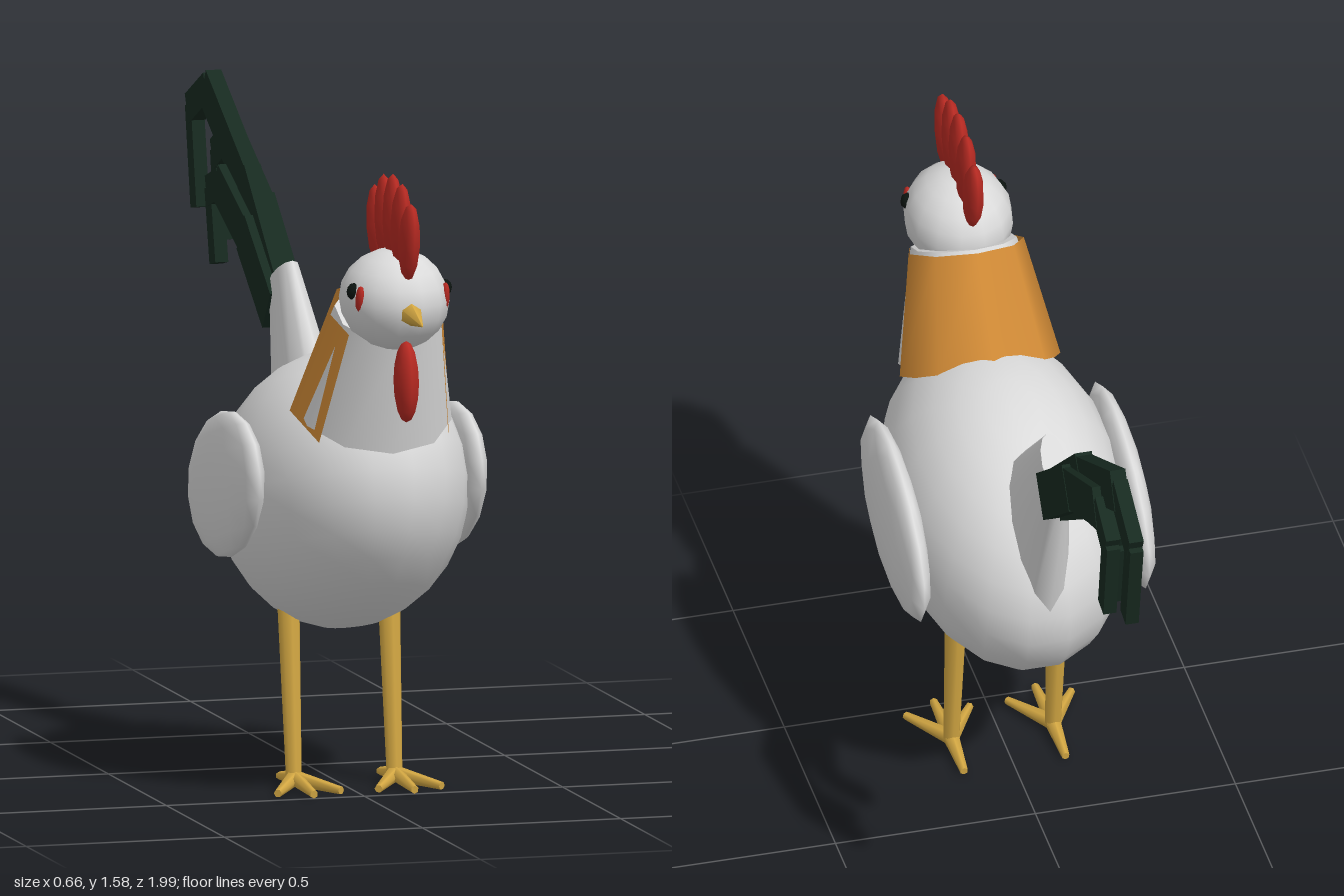
import * as THREE from 'three';

const material = (name, color) => {
  const m = new THREE.MeshStandardMaterial({ color });
  m.name = name;
  return m;
};

export function createModel() {
  const white = material('white plumage', 0xdadada);
  const orange = material('orange hackle', 0xd08a36);
  const red = material('red comb', 0xb82a22);
  const yellow = material('yellow horn', 0xd4a843);
  const green = material('dark green tail', 0x172a20);
  const black = material('eye black', 0x0c1410);
  const capeSkin = orange;
  capeSkin.side = THREE.DoubleSide;

  const model = new THREE.Group();
  model.name = 'rooster';

  const add = (name, geometry, mat, parent = model) => {
    const mesh = new THREE.Mesh(geometry, mat);
    mesh.name = name;
    parent.add(mesh);
    return mesh;
  };

  // Ellipsoid with centre, half sizes and a pitch about x
  const ellipsoid = (name, mat, centre, half, pitch = 0, w = 16, h = 12) => {
    const mesh = add(name, new THREE.SphereGeometry(1, w, h), mat);
    mesh.position.set(...centre);
    mesh.scale.set(...half);
    mesh.rotation.x = pitch;
    return mesh;
  };

  // Places a y-aligned geometry between two points
  const between = (name, mat, a, b, makeGeometry, parent = model) => {
    const start = new THREE.Vector3(...a);
    const end = new THREE.Vector3(...b);
    const dir = end.clone().sub(start);
    const mesh = add(name, makeGeometry(dir.length()), mat, parent);
    mesh.position.copy(start).add(end).multiplyScalar(0.5);
    mesh.quaternion.setFromUnitVectors(new THREE.Vector3(0, 1, 0), dir.normalize());
    return mesh;
  };
  const taper = (r0, r1, sides) => (len) => new THREE.CylinderGeometry(r1, r0, len, sides);

  // Body, neck and head
  ellipsoid('body', white, [0, 0.727, 0.305], [0.293, 0.338, 0.468], -0.26, 18, 14);
  between('neck', white, [0, 0.965, 0.575], [0, 1.22, 0.7], taper(0.192, 0.13, 10));
  between('hackleCape', capeSkin, [0, 0.955, 0.56], [0, 1.218, 0.69],
    (len) => new THREE.CylinderGeometry(0.145, 0.202, len, 6, 1, true, Math.PI - 2.2, 4.4));
  ellipsoid('head', white, [0, 1.262, 0.755], [0.133, 0.125, 0.156], 0, 14, 10);
  between('beak', yellow, [0, 1.25, 0.87], [0, 1.232, 1.0], taper(0.036, 0.002, 6));
  ellipsoid('wattle', red, [0, 1.075, 0.86], [0.031, 0.1, 0.05], 0, 8, 8);

  // Comb: five lobes fanned over the head
  for (let k = -2; k <= 2; k++) {
    ellipsoid('combLobe', red, [0, 1.456 - 0.009 * k * k, 0.747 + 0.069 * k],
      [0.025, 0.112 - 0.003 * k * k, 0.047], 0.11 * k, 8, 6);
  }

  // Tail stump, flattened sideways
  between('tailBase', white, [0, 0.81, 0.03], [0, 1.176, -0.193], taper(0.205, 0.084, 12)).scale.x = 0.38;

  // Tail feathers: sickle chains of flat segments, points as [y, z]
  const feathers = [
    [0, [[1.10, -0.21], [1.355, -0.50], [1.535, -0.82], [1.465, -0.965], [1.235, -0.92]]],
    [0.021, [[1.10, -0.21], [1.29, -0.45], [1.425, -0.725], [1.375, -0.82], [1.175, -0.785]]],
    [-0.021, [[1.09, -0.21], [1.24, -0.42], [1.33, -0.64], [1.30, -0.725], [1.135, -0.685]]],
  ];
  const widths = [0.115, 0.1, 0.075, 0.052];
  for (const [x, points] of feathers) {
    const feather = new THREE.Group();
    feather.name = 'tailFeather';
    model.add(feather);
    widths.forEach((width, i) => {
      between('featherSegment', green, [x, ...points[i]], [x, ...points[i + 1]],
        (len) => new THREE.BoxGeometry(0.042 - 0.003 * i, len + 0.015, width), feather);
    });
  }

  // Paired parts
  for (const s of [1, -1]) {
    const side = s > 0 ? 'left' : 'right';
    ellipsoid(side + 'Wing', white, [s * 0.281, 0.745, 0.268], [0.048, 0.178, 0.297], -0.26, 12, 8);
    ellipsoid(side + 'Eye', black, [s * 0.114, 1.292, 0.8], [0.019, 0.021, 0.021], 0, 8, 6);
    ellipsoid(side + 'EyePatch', red, [s * 0.107, 1.275, 0.828], [0.012, 0.036, 0.016], 0.2, 8, 6);

    const leg = new THREE.Group();
    leg.name = side + 'Leg';
    model.add(leg);
    const x = s * 0.127;
    between('shank', yellow, [x, 0.5, 0.272], [x, 0.025, 0.325], taper(0.029, 0.02, 8), leg);
    // Three front toes and one hind toe
    for (const [dx, dz] of [[0, 0.175], [0.08, 0.135], [-0.08, 0.135], [0, -0.125]]) {
      between('toe', yellow, [x, 0.026, 0.325], [x + dx, 0.012, 0.325 + dz], taper(0.02, 0.01, 6), leg);
    }
  }

  return model;
}
